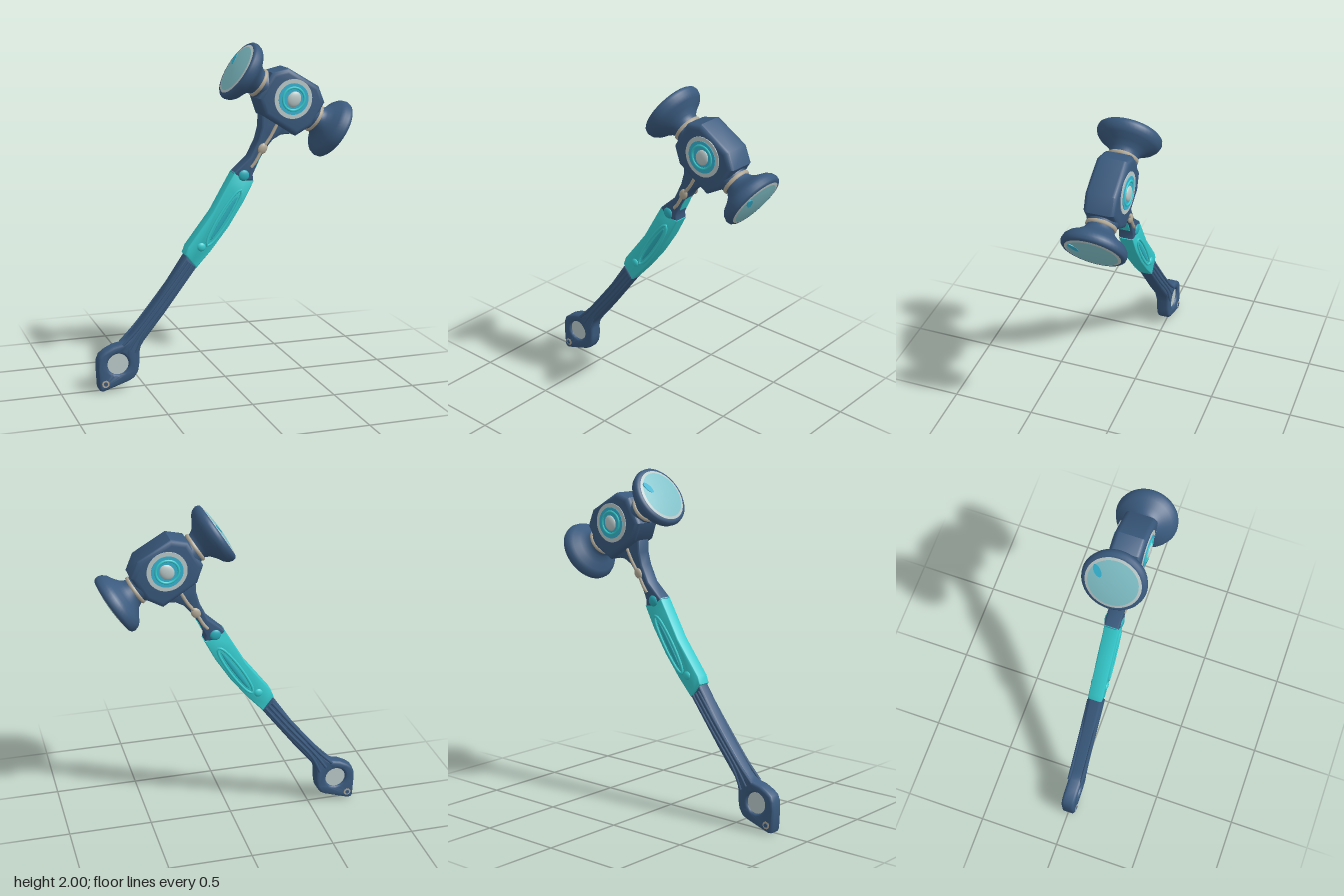
import * as THREE from 'three';
import { toCreasedNormals } from 'three/addons/utils/BufferGeometryUtils.js';

const paint = (name, color) => Object.assign(new THREE.MeshStandardMaterial({ color }), { name });

export function createModel() {
  const navy = paint('navy', 0x3a5a7e);
  const teal = paint('teal', 0x36cdd0);
  const deepTeal = paint('deep teal', 0x2aaebb);
  const faceTeal = paint('pale teal', 0x82c3cb);
  const silver = paint('silver', 0xbccaca);
  const blue = paint('gem blue', 0x36b4d2);
  const brass = paint('worn brass', 0xb3aa98);

  const model = new THREE.Group();
  model.name = 'hammer';

  function add(parent, name, geometry, material, x = 0, y = 0, z = 0) {
    const mesh = new THREE.Mesh(geometry, material);
    mesh.name = name;
    mesh.position.set(x, y, z);
    parent.add(mesh);
    return mesh;
  }

  // Outline extruded evenly about z = 0 with rounded edges
  function slab(points, half, bevel, hole) {
    const shape = new THREE.Shape(points.map(([x, y]) => new THREE.Vector2(x, y)));
    if (hole) shape.holes.push(new THREE.Path().absarc(hole[0], hole[1], hole[2], 0, Math.PI * 2, true));
    const geometry = new THREE.ExtrudeGeometry(shape, {
      depth: 2 * (half - bevel), bevelThickness: bevel, bevelSize: bevel,
      bevelOffset: -bevel, bevelSegments: 4, curveSegments: 24,
    });
    geometry.translate(0, 0, bevel - half);
    return toCreasedNormals(geometry, 0.7);
  }

  // Round plug passing through from front to back
  function plug(parent, name, radius, half, material, x, y) {
    const mesh = add(parent, name, new THREE.CylinderGeometry(radius, radius, half * 2, 40), material, x, y);
    mesh.rotation.x = Math.PI / 2;
  }

  function rod(parent, name, points, radius, material, closed = false) {
    const curve = new THREE.CatmullRomCurve3(points.map((p) => new THREE.Vector3(...p)), closed);
    return add(parent, name, new THREE.TubeGeometry(curve, 40, radius, 8, closed), material);
  }

  function bead(parent, name, x, y, z, sx, sy, sz, material, turn = 0) {
    const mesh = add(parent, name, new THREE.SphereGeometry(1, 24, 16), material, x, y, z);
    mesh.scale.set(sx, sy, sz);
    mesh.rotation.z = turn;
  }

  // Handle: lower shaft with ring pommel, grip and neck
  const handle = new THREE.Group();
  handle.name = 'handle';
  model.add(handle);
  add(handle, 'lowerShaft', slab([
    [-0.25, 0.78], [-0.415, 0.536], [-0.585, 0.323], [-0.61, 0.298], [-0.638, 0.281], [-0.695, 0.268],
    [-0.743, 0.244], [-0.774, 0.22], [-0.787, 0.186], [-0.79, 0.138], [-0.784, 0.02], [-0.775, 0.004],
    [-0.755, 0], [-0.6, 0.051], [-0.57, 0.068], [-0.546, 0.105], [-0.537, 0.16], [-0.537, 0.217],
    [-0.529, 0.255], [-0.51, 0.286], [-0.389, 0.435], [-0.188, 0.7],
  ], 0.042, 0.018, [-0.667, 0.16, 0.062]), navy);
  plug(handle, 'pommelInlay', 0.07, 0.028, silver, -0.667, 0.16);
  plug(handle, 'pommelStud', 0.022, 0.044, brass, -0.745, 0.048);
  plug(handle, 'pommelStudCentre', 0.012, 0.047, navy, -0.745, 0.048);

  add(handle, 'grip', slab([
    [-0.257, 0.785], [-0.24, 0.83], [-0.087, 1.029], [0.0, 1.18], [0.045, 1.257], [0.1, 1.215], [0.165, 1.2],
    [0.1, 1.075], [0.008, 0.933], [-0.098, 0.8], [-0.19, 0.7], [-0.22, 0.74],
  ], 0.043, 0.009), teal);
  add(handle, 'neck', slab([
    [0.04, 1.25], [0.1, 1.2], [0.16, 1.2], [0.158, 1.235], [0.195, 1.32], [0.24, 1.388], [0.28, 1.435],
    [0.33, 1.462], [0.42, 1.465], [0.42, 1.58], [0.25, 1.64], [0.21, 1.58], [0.208, 1.51], [0.188, 1.437],
    [0.14, 1.341],
  ], 0.046, 0.014), navy);
  const tab = add(handle, 'neckTab', new THREE.BoxGeometry(0.008, 0.09, 0.06), teal, 0.193, 1.312);
  tab.rotation.z = -0.45;

  // Raised trim on both sides of the handle
  const turn = -0.583;
  for (const side of [1, -1]) {
    const z = 0.04 * side;
    for (const offset of [-0.025, 0, 0.025]) {
      const flare = offset * 1.5;
      rod(handle, 'shaftRidge', [
        [-0.6 + flare, 0.245 - flare * 0.7, z], [-0.53 + offset * 0.85, 0.345 - offset * 0.6, z],
        [-0.36 + offset * 0.8, 0.555 - offset * 0.6, z], [-0.225 + offset * 0.8, 0.73 - offset * 0.6, z],
      ], 0.009, navy);
    }
    const loop = [];
    for (let i = 0; i < 12; i++) {
      const a = (i / 12) * Math.PI * 2;
      const u = 0.032 * Math.cos(a), v = 0.19 * Math.sin(a);
      loop.push([-0.02 + u * 0.835 + v * 0.55, 0.99 - u * 0.55 + v * 0.835, 0.043 * side]);
    }
    rod(handle, 'gripLoop', loop, 0.008, teal, true);
    bead(handle, 'gripInlay', -0.02, 0.99, 0.043 * side, 0.014, 0.15, 0.005, deepTeal, turn);
    bead(handle, 'lowerGripBead', -0.16, 0.825, 0.04 * side, 0.026, 0.026, 0.014, teal);
    bead(handle, 'upperGripBead', 0.1, 1.235, 0.043 * side, 0.033, 0.033, 0.014, deepTeal);
    bead(handle, 'neckBead', 0.214, 1.387, 0.046 * side, 0.027, 0.034, 0.014, brass, turn);
    rod(handle, 'neckTrim', [[0.145, 1.28, 0.044 * side], [0.17, 1.31, 0.046 * side], [0.214, 1.387, 0.046 * side],
      [0.26, 1.45, 0.046 * side], [0.305, 1.53, 0.046 * side]], 0.01, brass);
  }

  // Head, tilted along its striking axis
  const head = new THREE.Group();
  head.name = 'head';
  head.position.set(0.376, 1.657, 0);
  head.rotation.z = -0.567;
  model.add(head);
  add(head, 'headBlock', slab([
    [-0.12, 0.158], [0.1, 0.165], [0.185, 0.105], [0.19, -0.05], [0.135, -0.152], [-0.1, -0.152],
    [-0.185, -0.085], [-0.192, 0.085],
  ], 0.092, 0.03), navy);

  // Gem medallion on both faces
  plug(head, 'gemRing', 0.116, 0.096, silver, -0.003, 0.021);
  plug(head, 'gemDisc', 0.092, 0.099, blue, -0.003, 0.021);
  for (const side of [1, -1]) {
    add(head, 'gemHalo', new THREE.TorusGeometry(0.066, 0.008, 8, 40), teal, -0.003, 0.021, 0.097 * side);
    bead(head, 'gemDome', 0, 0.021, 0.097 * side, 0.042, 0.048, 0.016, silver);
  }

  // Two flared striking ends, turned about the head axis
  const lathe = (profile) => new THREE.LatheGeometry(profile.map(([r, h]) => new THREE.Vector2(r, h)), 48);
  for (const angle of [0, Math.PI]) {
    const end = new THREE.Group();
    end.name = angle ? 'rightStrikingEnd' : 'leftStrikingEnd';
    end.rotation.y = angle;
    head.add(end);
    const axis = new THREE.Group();
    axis.name = 'strikingAxis';
    axis.rotation.z = -Math.PI / 2;
    end.add(axis);
    add(axis, 'flare', lathe([
      [0.09, 0.15], [0.088, 0.18], [0.078, 0.2], [0.078, 0.22], [0.09, 0.243], [0.12, 0.268], [0.158, 0.29],
      [0.176, 0.31], [0.184, 0.335], [0.18, 0.353], [0.17, 0.362], [0.158, 0.364],
    ]), navy);
    add(axis, 'collar', lathe([[0.077, 0.193], [0.087, 0.198], [0.087, 0.212], [0.077, 0.217]]), brass);
    add(axis, 'faceRing', lathe([[0.158, 0.364], [0.142, 0.368]]), silver);
    add(axis, 'strikingFace', lathe([[0.142, 0.368], [0.1, 0.374], [0.05, 0.378], [0, 0.379]]), faceTeal);
    const patch = add(end, 'facePatch', new THREE.CylinderGeometry(0.02, 0.02, 0.006, 20), blue, 0.372, 0.05, 0.095);
    patch.rotation.set(0.6, 0, -Math.PI / 2 + 0.05);
    patch.scale.set(2, 1, 1);
  }

  return model;
}
